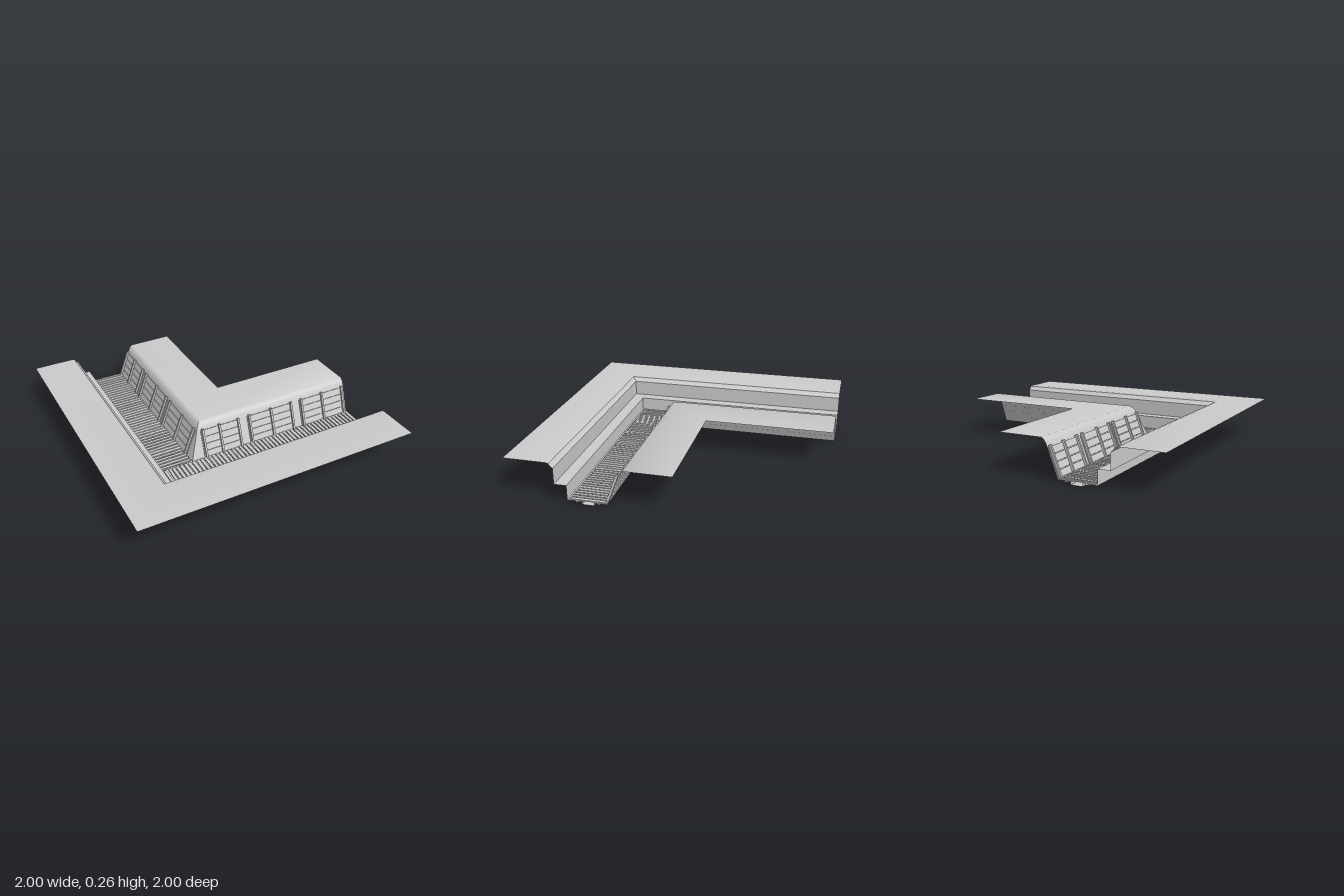
import * as THREE from 'three';
import { toCreasedNormals } from 'three/addons/utils/BufferGeometryUtils.js';

const material = new THREE.MeshStandardMaterial({ color: 0xcccccc, side: THREE.DoubleSide });

// Small repeatable random source for uneven planks
let seed = 7;
const random = () => (seed = (seed * 16807) % 2147483647) / 2147483647;

function addBox(parent, name, [w, h, l], [x, y, z], turn = 0) {
  const mesh = new THREE.Mesh(new THREE.BoxGeometry(w, h, l), material);
  mesh.name = name;
  mesh.position.set(x, y, z);
  mesh.rotation.y = turn;
  parent.add(mesh);
  return mesh;
}

// Earth section from the outer edge to the inner edge: [across, height]
const profile = [
  [-1, 0.265], [-0.71, 0.265], [-0.69, 0.26], [-0.68, 0.245], [-0.663, 0.23],
  [-0.663, 0.12], [-0.58, 0.12], [-0.58, 0.02], [-0.48, 0.02], [-0.48, 0],
  [-0.40, 0], [-0.40, 0.02], [-0.312, 0.02], [-0.24, 0.21],
  [-0.23, 0.235], [-0.218, 0.253], [-0.2, 0.265], [0.11, 0.265],
];

// Sweep the section along both legs with a mitred corner
function earthGeometry() {
  const stations = [
    ([d, y]) => [d, y, -1],
    ([d, y]) => [d, y, -d],
    ([d, y]) => [1, y, -d],
  ];
  const positions = [], index = [];
  for (const at of stations) for (const p of profile) positions.push(...at(p));
  const n = profile.length;
  for (let j = 0; j < 2; j++) {
    for (let i = 0; i < n - 1; i++) {
      const a = j * n + i, b = a + n;
      index.push(a, b, b + 1, a, b + 1, a + 1);
    }
  }
  const geometry = new THREE.BufferGeometry();
  geometry.setAttribute('position', new THREE.Float32BufferAttribute(positions, 3));
  geometry.setIndex(index);
  return toCreasedNormals(geometry, 0.6);
}

// Cross planks on two runners along the trench floor
function addDuckboards(leg, side, end) {
  const length = end + 1;
  for (const d of [-0.51, -0.37]) {
    addBox(leg, 'duckboardRunner', [0.02, 0.01, length], [side * d, 0.018, end - length / 2]);
  }
  const count = Math.round(length / 0.031);
  const pitch = length / count;
  for (let i = 0; i < count; i++) {
    const crooked = i % 7 === 6 ? (random() - 0.5) * 0.1 : 0;
    const width = 0.019 + random() * 0.005;
    addBox(leg, 'duckboardPlank', [0.245, 0.008, width],
      [side * -0.44, 0.026, -1 + (i + 0.5) * pitch], crooked);
  }
}

// Boards and posts leaning against the sloping wall
function addRevetment(leg, side, panels) {
  const lean = Math.atan2(0.072, 0.19);
  const wall = new THREE.Group();
  wall.name = 'revetment';
  wall.position.set(side * -0.276, 0.115, 0);
  wall.rotation.z = -side * lean;
  leg.add(wall);
  for (const posts of panels) {
    const first = posts[0], last = posts[posts.length - 1];
    for (let row = 0; row < 4; row++) {
      addBox(wall, 'wallBoard', [0.007, 0.046, Math.abs(last - first) + 0.026],
        [side * -0.003, -0.075 + row * 0.05, (first + last) / 2]);
    }
    for (const t of posts) addBox(wall, 'wallPost', [0.018, 0.212, 0.014], [side * -0.012, 0.003, t]);
  }
}

export function createModel() {
  seed = 7;
  const model = new THREE.Group();
  model.name = 'trenchCorner';

  const earth = new THREE.Mesh(earthGeometry(), material);
  earth.name = 'earthBanksAndFloor';
  model.add(earth);

  // Leg running towards the back
  const backLeg = new THREE.Group();
  backLeg.name = 'backLeg';
  addDuckboards(backLeg, 1, 0.305);
  addRevetment(backLeg, 1, [[-0.98, -0.83, -0.67], [-0.6, -0.405, -0.235], [-0.17, 0.03, 0.21]]);
  model.add(backLeg);

  // Leg running towards the left side, turned a quarter
  const sideLeg = new THREE.Group();
  sideLeg.name = 'sideLeg';
  sideLeg.rotation.y = -Math.PI / 2;
  addDuckboards(sideLeg, -1, 0.57);
  addRevetment(sideLeg, -1, [[-0.97, -0.79, -0.61], [-0.52, -0.35, -0.17], [-0.08, 0.07, 0.2]]);
  model.add(sideLeg);

  return model;
}
